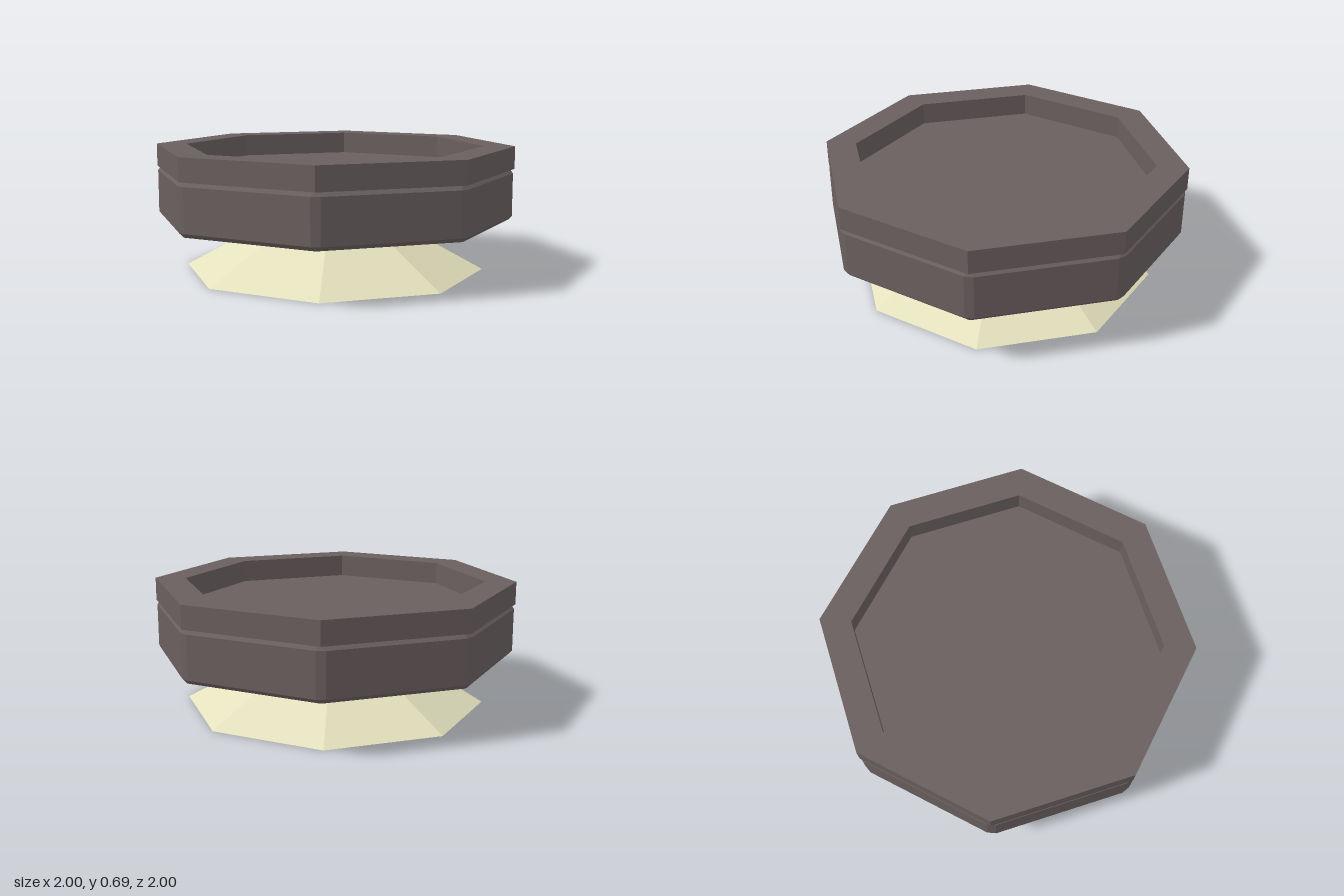
import * as THREE from 'three';
import { ConvexGeometry } from 'three/addons/geometries/ConvexGeometry.js';

const SIDES = 8;

// Octagon corners at height y; each corner is cut back by `cut` along both edges
function octagon(radius, y, cut) {
  const corners = [];
  for (let i = 0; i < SIDES; i++) {
    const a = (i / SIDES) * Math.PI * 2;
    corners.push(new THREE.Vector3(Math.sin(a) * radius, y, Math.cos(a) * radius));
  }
  return corners.flatMap((p, i) => [-1, 1].map((d) => {
    const next = corners[(i + d + SIDES) % SIDES];
    return p.clone().addScaledVector(next.clone().sub(p).normalize(), cut);
  }));
}

// Eight-sided flat-shaded solid from a [radius, y] profile
function faceted(profile) {
  const points = profile.map(([r, y]) => new THREE.Vector2(r, y));
  const geometry = new THREE.LatheGeometry(points, SIDES).toNonIndexed();
  geometry.computeVertexNormals();
  return geometry;
}

export function createModel() {
  const dark = new THREE.MeshStandardMaterial({ color: 0x6a5f5f });
  dark.name = 'dark stone';
  const pale = new THREE.MeshStandardMaterial({ color: 0xe3e1bd });
  pale.name = 'pale cream';

  const model = new THREE.Group();
  model.name = 'octagonalPedestal';
  const add = (name, geometry, material) => {
    const mesh = new THREE.Mesh(geometry, material);
    mesh.name = name;
    model.add(mesh);
  };

  // Flared foot, tapering up into the body
  add('foot', faceted([[0, 0], [0.835, 0], [0.28, 0.3], [0, 0.3]]), pale);

  // Body slab with bevelled edges and corners; its top is the tray floor
  add('body', new ConvexGeometry([
    ...octagon(0.977, 0.285, 0.006),
    ...octagon(1, 0.307, 0.026),
    ...octagon(1, 0.543, 0.026),
    ...octagon(0.977, 0.565, 0.006),
  ]), dark);

  // Raised rim around the tray
  add('rim', faceted([
    [0.83, 0.565], [1, 0.565], [1, 0.69], [0.83, 0.69], [0.83, 0.565],
  ]), dark);

  return model;
}
